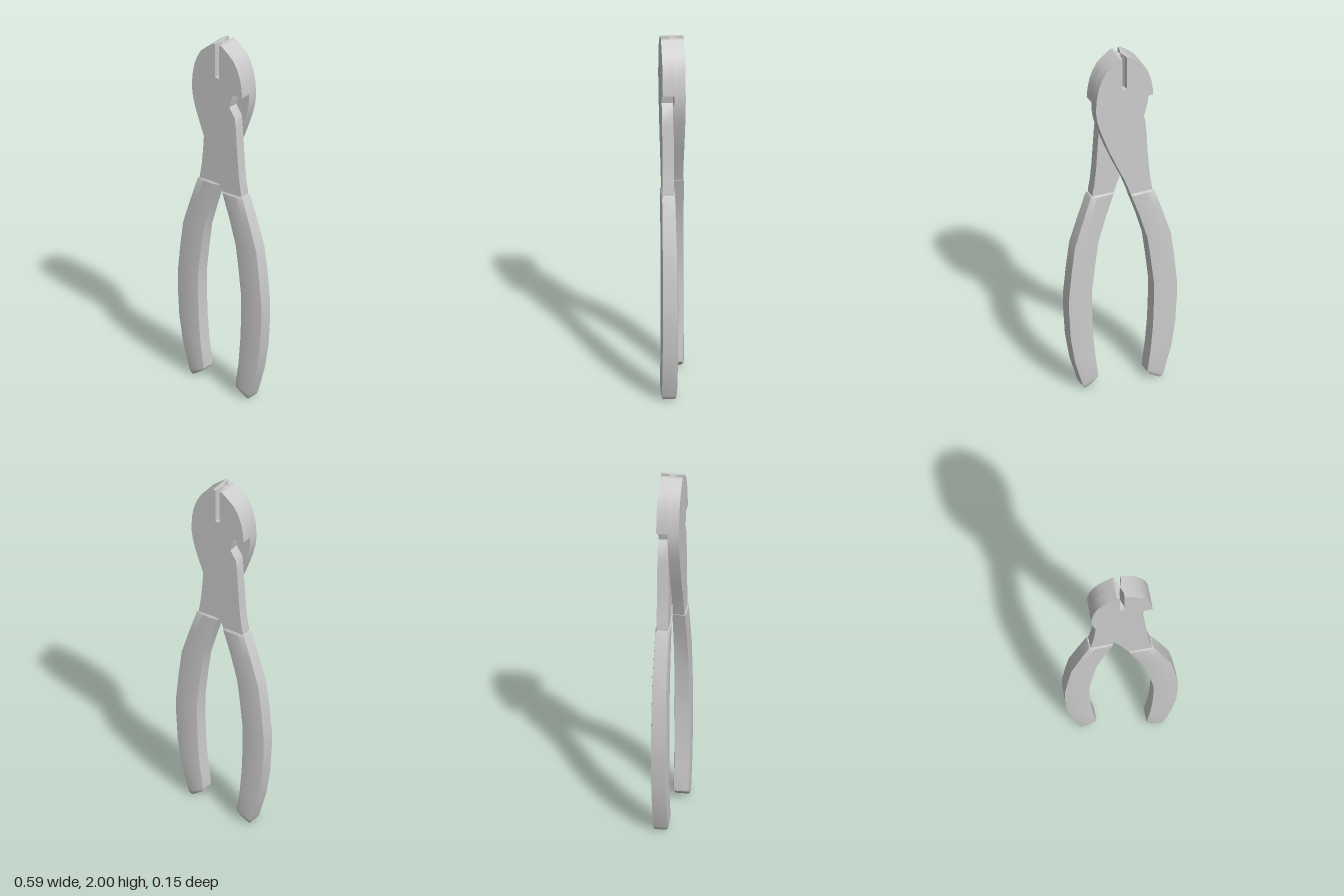
import * as THREE from 'three';
import { toCreasedNormals } from 'three/addons/utils/BufferGeometryUtils.js';

const T = 0.06; // thickness of one steel layer
const GAP = 0.013; // half the slot between the jaws

const vec = (pts) => pts.map(([x, y]) => new THREE.Vector2(x, y));

// outer curve of the jaw, from its tip down to the notch level
const jawCurve = [[-0.027, 2], [-0.065, 1.972], [-0.106, 1.936], [-0.131, 1.892], [-0.148, 1.846], [-0.159, 1.79], [-0.163, 1.738]];

// round shoulder of the pivot, from the slot to the notch; side = +1 or -1
function shoulder(side) {
  const pts = [];
  for (let i = 0; i <= 6; i++) {
    const a = Math.PI / 2 - (i / 6) * 1.12;
    pts.push([side * 0.112 * Math.cos(a), 1.685 + 0.122 * Math.sin(a)]);
  }
  return pts;
}

function slab(name, pts, z0, depth, material) {
  const geo = new THREE.ExtrudeGeometry(new THREE.Shape(vec(pts)), { depth, bevelEnabled: false });
  geo.translate(0, 0, z0);
  const mesh = new THREE.Mesh(toCreasedNormals(geo, 0.5), material);
  mesh.name = name;
  return mesh;
}

// handle sleeve lofted through rows: [innerX, innerY, outerX, outerY, half thickness]
function sleeveGeometry(rows, zc) {
  const section = [[0, 0.88], [0.25, 1], [0.72, 1], [1, 0.88], [1, -0.88], [0.72, -1], [0.25, -1], [0, -0.88]];
  const n = section.length;
  const pos = [];
  const idx = [];
  for (const [ix, iy, ox, oy, h] of rows) {
    for (const [t, s] of section) pos.push(ix + (ox - ix) * t, iy + (oy - iy) * t, zc + s * h);
  }
  for (let r = 0; r < rows.length - 1; r++) {
    for (let j = 0; j < n; j++) {
      const a = r * n + j;
      const b = r * n + ((j + 1) % n);
      idx.push(a, a + n, b + n, a, b + n, b);
    }
  }
  const last = (rows.length - 1) * n;
  for (let j = 1; j < n - 1; j++) {
    idx.push(0, j, j + 1);
    idx.push(last, last + j + 1, last + j);
  }
  const geo = new THREE.BufferGeometry();
  geo.setAttribute('position', new THREE.Float32BufferAttribute(pos, 3));
  geo.setIndex(idx);
  return toCreasedNormals(geo, 0.5);
}

// one lever: jaw on -x, crossing over the front to a handle on +x
function createLever(material) {
  const lever = new THREE.Group();

  // front layer: jaw, pivot plate and neck in one piece
  lever.add(slab('pivotPlate', [
    ...jawCurve,
    [-0.163, 1.7], [-0.157, 1.655], [-0.143, 1.6], [-0.122, 1.54], [-0.09, 1.455], [-0.05, 1.36],
    [0, 1.253], [0.05, 1.12], [0.157, 1.12],
    [0.157, 1.17], [0.145, 1.24], [0.136, 1.33], [0.122, 1.54], [0.116, 1.605],
    [0.08, 1.66], [0.1, 1.73],
    ...shoulder(1).reverse(),
    [-GAP, 1.807], [-GAP, 2],
  ], 0, T, material));

  // back layer: only the jaw, resting on the other lever's shoulder
  lever.add(slab('jaw', [
    ...jawCurve,
    ...shoulder(-1).reverse().slice(0, -1),
    [-GAP, 1.807], [-GAP, 2],
  ], -T, T, material));

  // bevelled cutting edge meeting its twin in the middle
  const edge = new THREE.ExtrudeGeometry(
    new THREE.Shape(vec([[-GAP, -0.036], [0, 0], [-GAP, 0.036]])),
    { depth: 0.193, bevelEnabled: false });
  edge.rotateX(-Math.PI / 2);
  edge.translate(0, 1.807, 0);
  const blade = new THREE.Mesh(edge, material);
  blade.name = 'cuttingEdge';
  lever.add(blade);

  // padded grip with a small lip at the top and a slanted, rounded tip
  const grip = new THREE.Mesh(sleeveGeometry([
    [0.04, 1.16, 0.163, 1.16, 0.032],
    [0.037, 1.15, 0.169, 1.15, 0.038],
    [0.083, 1.02, 0.213, 1.02, 0.04],
    [0.127, 0.873, 0.26, 0.873, 0.042],
    [0.146, 0.735, 0.278, 0.735, 0.043],
    [0.163, 0.59, 0.294, 0.575, 0.044],
    [0.163, 0.48, 0.294, 0.48, 0.044],
    [0.158, 0.34, 0.284, 0.32, 0.044],
    [0.146, 0.2, 0.26, 0.175, 0.044],
    [0.127, 0.066, 0.217, 0.027, 0.043],
    [0.128, 0.052, 0.21, 0.011, 0.041],
    [0.137, 0.041, 0.2, 0, 0.034],
  ], T / 2), material);
  grip.name = 'grip';
  lever.add(grip);
  return lever;
}

export function createModel() {
  const model = new THREE.Group();
  model.name = 'pliers';
  const material = new THREE.MeshStandardMaterial({ color: 0xcccccc });

  // the second lever is the first turned half a circle about the upright axis
  ['frontLever', 'backLever'].forEach((name, i) => {
    const lever = createLever(material);
    lever.name = name;
    lever.rotation.y = i * Math.PI;
    model.add(lever);
  });
  return model;
}
